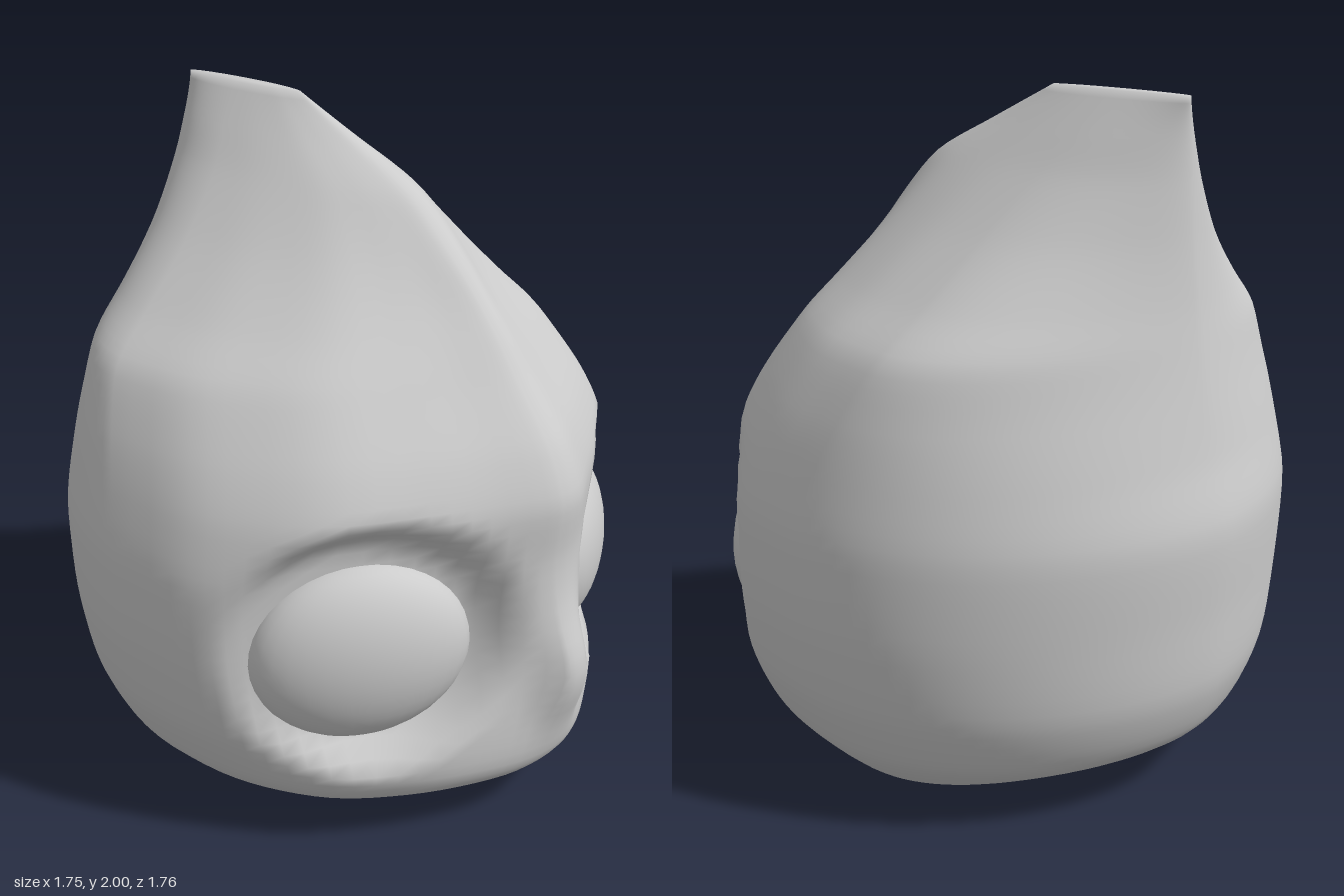
import * as THREE from 'three';

const { lerp, smoothstep } = THREE.MathUtils;
const mat = () => new THREE.MeshStandardMaterial({ color: 0xcccccc, roughness: 0.8 });

// Head profile from the underside up: y, half width, front z, back z, z of the widest point
const PROFILE = [
  [0.00, 0.02, -0.06, -0.10, -0.08],
  [0.005, 0.30, 0.12, -0.27, -0.08],
  [0.015, 0.55, 0.31, -0.46, -0.08],
  [0.10, 0.67, 0.67, -0.64, -0.08],
  [0.20, 0.755, 0.80, -0.78, -0.08],
  [0.37, 0.83, 0.82, -0.85, -0.08],
  [0.60, 0.87, 0.81, -0.865, -0.09],
  [0.85, 0.87, 0.80, -0.875, -0.10],
  [1.03, 0.83, 0.81, -0.83, -0.14],
  [1.18, 0.78, 0.75, -0.80, -0.19],
  [1.34, 0.70, 0.63, -0.77, -0.25],
  [1.46, 0.56, 0.54, -0.75, -0.28],
  [1.62, 0.38, 0.40, -0.73, -0.31],
  [1.78, 0.22, 0.23, -0.715, -0.36],
  [1.89, 0.125, 0.01, -0.707, -0.42],
  [2.00, 0.03, -0.22, -0.70, -0.46],
];
const spline = (pick) => new THREE.CatmullRomCurve3(
  PROFILE.map((p) => new THREE.Vector3(...pick(p))), false, 'catmullrom', 0.4);
const outline = spline(([y, w, front]) => [y, w, front]);
const depth = spline(([, , , back, mid]) => [back, mid, 0]);

// Unit half section of the front, from the side to the central ridge
const FRONT = [[1, 0], [0.97, 0.27], [0.885, 0.45], [0.73, 0.65], [0.47, 0.8], [0.26, 0.9], [0.07, 0.99], [0, 1]];
const frontCurve = new THREE.CatmullRomCurve3(FRONT.map(([x, z]) => new THREE.Vector3(x, 0, z)));

// Eye placement: the eye faces forward and outward
const EYE = new THREE.Vector3(0.462, 0.615, 0.45);
const YAW = 0.56;
const NX = Math.sin(YAW), NZ = Math.cos(YAW);

// One point of the head: ring angle a, ring position t along the profile
function headPoint(a, t) {
  const { x: y, y: w, z: front } = outline.getPoint(t);
  const { x: back, y: mid } = depth.getPoint(t);
  const side = Math.cos(a) < 0 ? -1 : 1;
  const c = Math.abs(Math.cos(a)), s = Math.min(1, Math.abs(Math.sin(a)));
  const crest = smoothstep(y, 1.5, 1.85);
  const shoulder = smoothstep(y, 1.0, 1.35) * (1 - crest);
  let x, z;
  if (Math.sin(a) >= 0) {
    const p = frontCurve.getPoint(Math.asin(s) / (Math.PI / 2));
    const keel = lerp(0.35, 1, smoothstep(y, 0.1, 0.55)) * (1 - 0.6 * crest);
    x = w * lerp(c, p.x, keel) * (1 - 0.08 * shoulder * s);
    z = mid + (front - mid) * lerp(s, p.z, keel);
  } else {
    x = w * Math.pow(c, 1.13 + 0.22 * shoulder);
    z = mid + (back - mid) * s;
  }
  // Eye socket: flatten the surface towards a plane behind the eye
  if (z > 0) {
    const u = (x - EYE.x) * NZ - (z - EYE.z) * NX;
    const r = Math.hypot(u / 0.44, (y - 0.655) / 0.39);
    const m = 1 - smoothstep(r, 0.75, 1.03);
    const push = m * Math.max(0, x * NX + z * NZ - 0.635);
    x -= push * NX;
    z -= push * NZ;
    // Small beak on the central ridge
    z += 0.065 * Math.exp(-((x / 0.085) ** 4)) * Math.exp(-(((y - 0.5) / 0.16) ** 2));
  }
  return [side * x, y, z];
}

function headGeometry() {
  const N = 96, ROWS = 75, pos = [], idx = [];
  for (let i = 0; i <= ROWS; i++) {
    for (let j = 0; j < N; j++) pos.push(...headPoint(j / N * Math.PI * 2, i / ROWS));
  }
  for (let i = 0; i < ROWS; i++) {
    for (let j = 0; j < N; j++) {
      const k = (j + 1) % N, a = i * N, b = a + N;
      idx.push(a + j, b + j, a + k, b + j, b + k, a + k);
    }
  }
  // Close the underside and the crest
  const bottom = pos.length / 3, top = bottom + 1, last = ROWS * N;
  pos.push(0, 0, -0.08, 0, 2, -0.46);
  for (let j = 0; j < N; j++) {
    const k = (j + 1) % N;
    idx.push(bottom, j, k, top, last + k, last + j);
  }
  const g = new THREE.BufferGeometry();
  g.setAttribute('position', new THREE.Float32BufferAttribute(pos, 3));
  g.setIndex(idx);
  g.computeVertexNormals();
  return g;
}

export function createModel() {
  const model = new THREE.Group();
  model.name = 'pointedHead';

  const head = new THREE.Mesh(headGeometry(), mat());
  head.name = 'head';
  model.add(head);

  // Bulging oval eyes
  for (const side of [1, -1]) {
    const eye = new THREE.Mesh(new THREE.SphereGeometry(1, 32, 20), mat());
    eye.name = side > 0 ? 'leftEye' : 'rightEye';
    eye.scale.set(0.32, 0.27, 0.15);
    eye.position.set(side * EYE.x, EYE.y, EYE.z);
    eye.rotation.y = side * YAW;
    model.add(eye);
  }
  return model;
}
